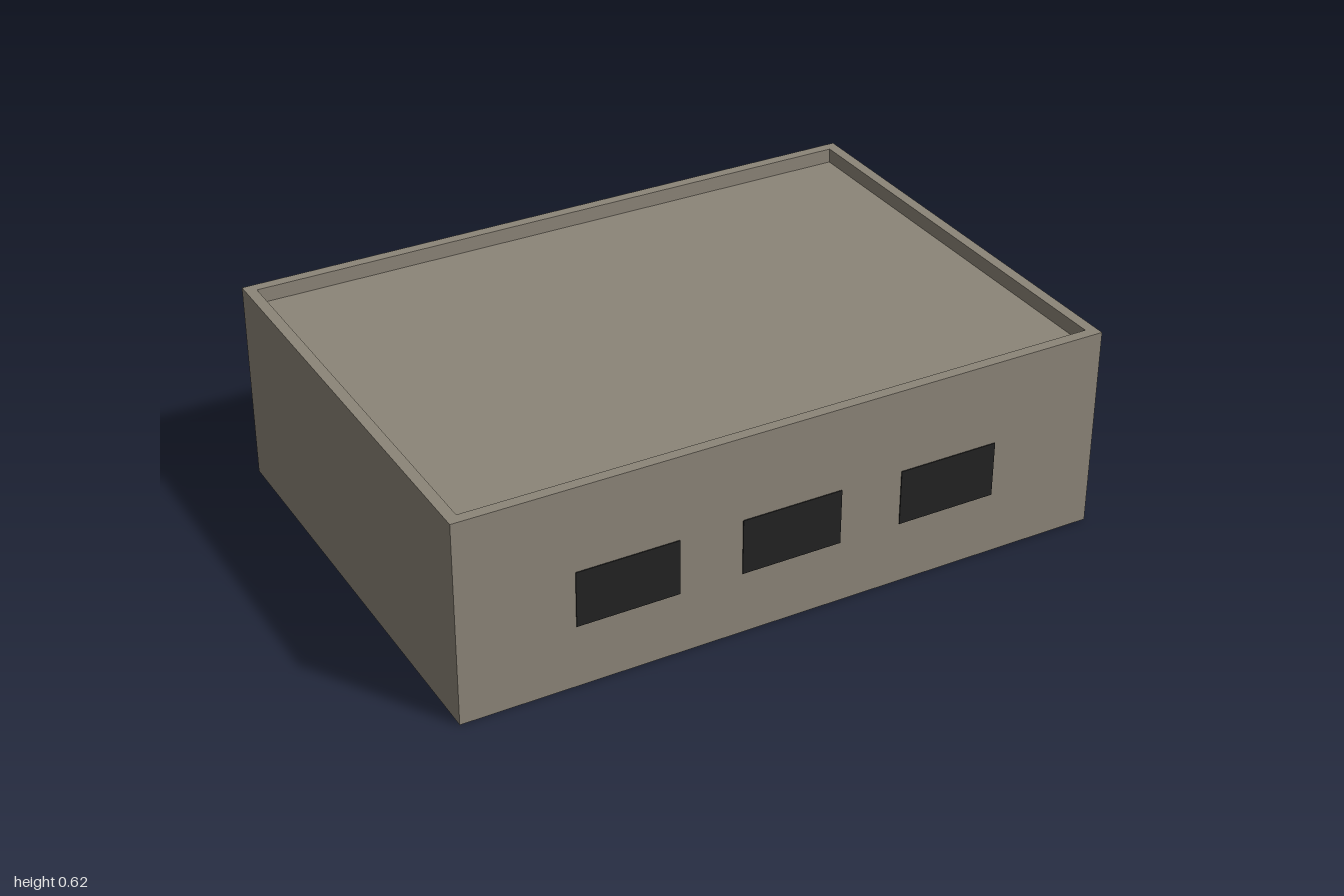
import * as THREE from 'three';

export function createModel() {
  const group = new THREE.Group();
  const concrete = new THREE.MeshStandardMaterial({ color: 0x8c8578, side: THREE.DoubleSide });
  concrete.name = 'concrete';
  const darkGlass = new THREE.MeshStandardMaterial({ color: 0x222222 });
  darkGlass.name = 'dark opening';
  const blueGlass = new THREE.MeshStandardMaterial({ color: 0x525c69 });
  blueGlass.name = 'blue glass';

  const W = 0.997, D = 0.702, H = 0.62; // half width, half depth, height
  const rim = 0.033, roofY = 0.575;

  function add(name, geometry, material, x, y, z, ry = 0) {
    const mesh = new THREE.Mesh(geometry, material);
    mesh.name = name;
    mesh.position.set(x, y, z);
    mesh.rotation.y = ry;
    group.add(mesh);
    return mesh;
  }

  // Thin outer walls, open underneath
  const longWall = new THREE.PlaneGeometry(2 * W, roofY);
  const shortWall = new THREE.PlaneGeometry(2 * D, roofY);
  add('frontWall', longWall, concrete, 0, roofY / 2, D);
  add('backWall', longWall, concrete, 0, roofY / 2, -D, Math.PI);
  add('leftWall', shortWall, concrete, W, roofY / 2, 0, Math.PI / 2);
  add('rightWall', shortWall, concrete, -W, roofY / 2, 0, -Math.PI / 2);

  // Raised parapet around the roof
  const rectangle = (path, w, d) =>
    path.moveTo(-w, -d).lineTo(w, -d).lineTo(w, d).lineTo(-w, d).closePath();
  const ring = rectangle(new THREE.Shape(), W, D);
  ring.holes.push(rectangle(new THREE.Path(), W - rim, D - rim));
  const parapet = new THREE.ExtrudeGeometry(ring, { depth: H - roofY, bevelEnabled: false });
  parapet.rotateX(-Math.PI / 2);
  add('parapet', parapet, concrete, 0, roofY, 0);

  // Recessed flat roof
  const roof = new THREE.PlaneGeometry(2 * (W - rim), 2 * (D - rim)).rotateX(-Math.PI / 2);
  add('roof', roof, concrete, 0, roofY, 0);

  // Front openings
  const opening = new THREE.BoxGeometry(0.308, 0.17, 0.003);
  for (const x of [-0.5, 0, 0.5]) add('frontWindow', opening, darkGlass, x, 0.278, D + 0.0015);

  // Long side window
  add('sideWindow', new THREE.BoxGeometry(0.003, 0.117, 0.706), blueGlass, W + 0.0015, 0.301, 0);

  return group;
}
